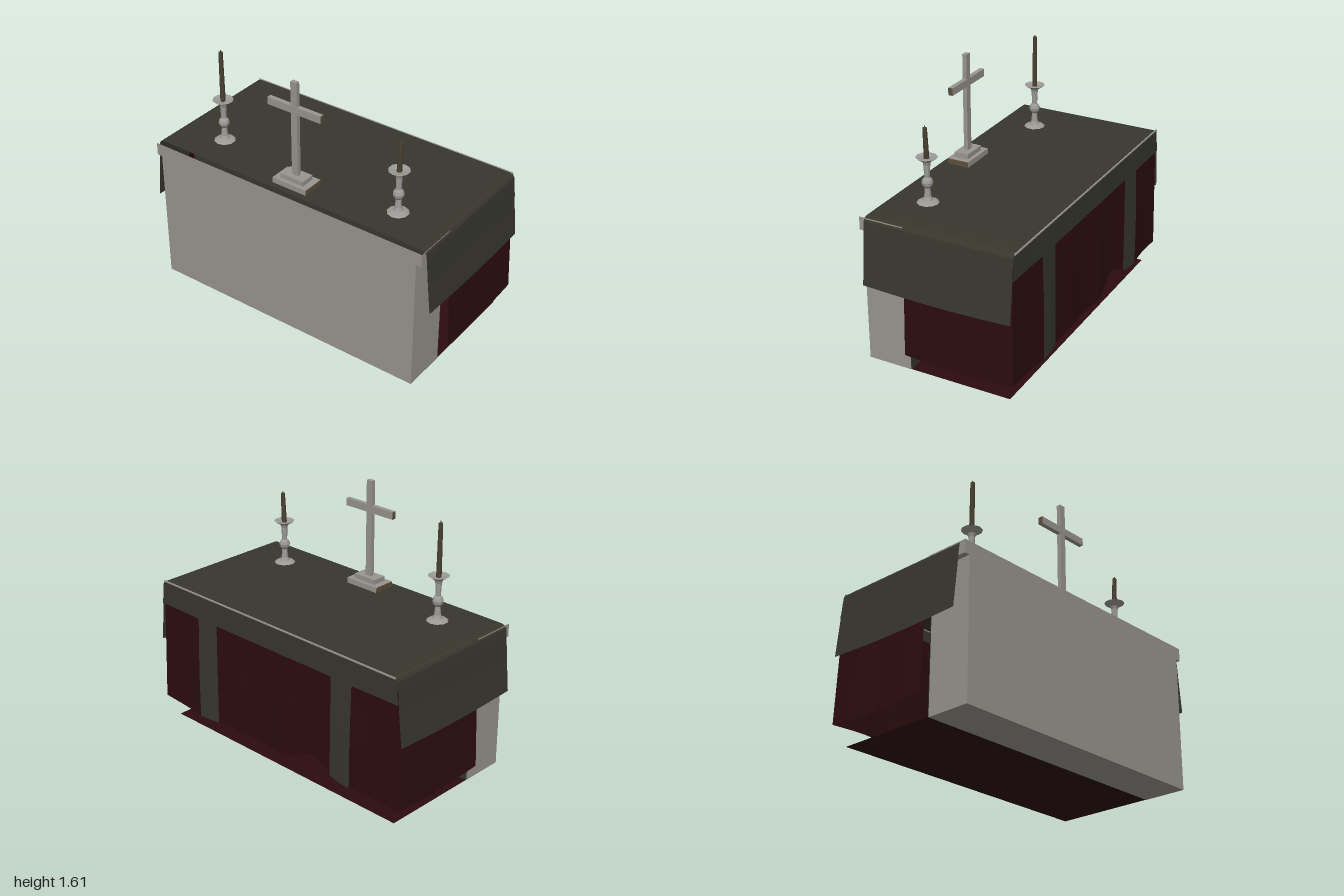
import * as THREE from 'three';
import { ParametricGeometry } from 'three/addons/geometries/ParametricGeometry.js';

const mat = (name, color, side = THREE.FrontSide) => {
  const m = new THREE.MeshStandardMaterial({ color, side });
  m.name = name;
  return m;
};

export function createModel() {
  const stone = mat('stone', 0x98948f);
  const bronze = mat('bronze', 0x5a4f3c);
  const pewter = mat('pewter', 0x9c9a97, THREE.DoubleSide);
  pewter.flatShading = true;
  const wax = mat('wax', 0x4a4030);
  const green = mat('darkGreenCloth', 0x37372e, THREE.DoubleSide);
  const red = mat('darkRedCloth', 0x2c0c0e, THREE.DoubleSide);

  const model = new THREE.Group();
  model.name = 'altar';
  const add = (parent, name, geo, material) => {
    const m = new THREE.Mesh(geo, material);
    m.name = name;
    parent.add(m);
    return m;
  };
  // Box given by its limits on each axis
  const box = (x0, x1, y0, y1, z0, z1) =>
    new THREE.BoxGeometry(x1 - x0, y1 - y0, z1 - z0).translate((x0 + x1) / 2, (y0 + y1) / 2, (z0 + z1) / 2);
  // Box left open at the top
  const openBox = (...limits) => {
    const g = box(...limits);
    const index = Array.from(g.index.array);
    index.splice(12, 6);
    g.setIndex(index);
    g.clearGroups();
    return g;
  };
  // Cloth surface from a rule (u, v) -> [x, y, z]
  const sheet = (rule, nu, nv) =>
    new ParametricGeometry((u, v, p) => p.set(...rule(u, v)), nu, nv);
  const lerp = THREE.MathUtils.lerp;

  // Stone slab with a wider ledge at the top
  add(model, 'frontSlab', openBox(-0.92, 0.92, 0, 0.855, 0.22, 0.5), stone);
  add(model, 'slabLedge', openBox(-0.955, 0.955, 0.855, 0.937, 0.22, 0.5), stone);
  add(model, 'slabBacking', box(-0.919, 0.919, 0.002, 0.93, 0.214, 0.219), green);

  // Flat red floor panel behind the slab
  add(model, 'floorPanel', new THREE.PlaneGeometry(1.84, 0.65).rotateX(-Math.PI / 2).translate(0, 0.002, -0.105), red);

  // Soft folds across the back
  const bell = (x, c, w) => Math.exp(-(((x - c) / w) ** 2));
  const backZ = (x, y) => {
    const drop = (0.94 - y) / 0.8;
    const folds = bell(x, 0.61, 0.13) + bell(x, -0.62, 0.13) + 0.7 * bell(x, -0.1, 0.09) + 0.7 * bell(x, 0.27, 0.09);
    return -0.472 - 0.007 * drop - 0.014 * folds * Math.min(1, drop * 1.6);
  };
  const hem = (x) => 0.13 + 0.1 * bell(x, -0.32, 0.13) + 0.008 * Math.sin(x * 7);
  const sideX = (y) => 0.956 + 0.028 * (0.86 - y) / 0.73;

  // Red hanging: back and two sides
  add(model, 'backHanging', sheet((u, v) => {
    const t = lerp(-1, 1, u);
    const y = lerp(hem(t * 0.98), 0.86, v);
    const x = t * sideX(y);
    return [x, y, backZ(x, y)];
  }, 64, 10), red);
  for (const s of [1, -1]) {
    add(model, s > 0 ? 'leftHanging' : 'rightHanging', sheet((u, v) => {
      const edge = hem(s * 0.98);
      const y = lerp(edge - 0.015 * Math.sin(u * Math.PI), 0.86, v);
      const z = lerp(backZ(s * 0.98, y), 0.215, u);
      return [s * (sideX(y) + 0.003 * Math.sin(u * 9) * u * (1 - u)), y, z];
    }, 16, 8), red);
    // Vertical green bands on the back
    add(model, s > 0 ? 'leftBand' : 'rightBand', sheet((u, v) => {
      const x = s * 0.555 + lerp(-0.08, 0.08, u);
      const y = lerp(hem(x), 0.82, v);
      return [x, y, backZ(x, y) - 0.004];
    }, 6, 10), green);
  }

  // Green cover: rounded over the ends and hanging down both sides
  const half = [[0.85, 0.942], [0.93, 0.941], [0.952, 0.934], [0.962, 0.918], [0.968, 0.87], [0.98, 0.73], [1.0, 0.53]];
  const section = [...half.map(([x, y]) => [-x, y]).reverse(), ...half];
  const last = section.length - 1;
  add(model, 'topCover', sheet((u, v) => {
    const i = Math.round(u * last);
    const [x, y] = section[i];
    const wave = i === 0 || i === last ? -0.012 * Math.sin(v * Math.PI) : 0;
    return [x, y + wave, lerp(-0.476, 0.466, v)];
  }, last, 16), green);
  add(model, 'backOverhang', sheet((u, v) => {
    const y = lerp(0.785, 0.942, v);
    const x = lerp(-1, 1, u) * lerp(0.976, 0.95, v);
    return [x, y, backZ(x, y) - 0.006];
  }, 48, 4), green);
  add(model, 'backEdgeTrim', box(-0.95, 0.95, 0.936, 0.944, -0.482, -0.474), stone);

  // Cross on a two-step base, with bronze end faces
  const cross = new THREE.Group();
  cross.name = 'cross';
  model.add(cross);
  const bronzeEnds = [bronze, bronze, stone, stone, stone, stone];
  add(cross, 'lowerStep', box(-0.12, 0.12, 0.942, 0.976, 0.285, 0.427), bronzeEnds);
  add(cross, 'upperStep', box(-0.08, 0.08, 0.976, 1.006, 0.31, 0.402), stone);
  add(cross, 'upright', box(-0.021, 0.021, 1.006, 1.613, 0.343, 0.37), stone);
  add(cross, 'crossbar', box(-0.186, 0.186, 1.414, 1.46, 0.342, 0.371), bronzeEnds);

  // Candlesticks with leaning candles
  const profile = [[0, 0.943], [0.066, 0.945], [0.055, 0.953], [0.03, 0.96], [0.021, 0.98], [0.016, 1.035],
    [0.03, 1.052], [0.034, 1.07], [0.028, 1.088], [0.016, 1.1], [0.02, 1.18], [0.026, 1.198],
    [0.064, 1.224], [0.058, 1.226], [0, 1.212]].map(([r, y]) => new THREE.Vector2(r, y));
  const candlestick = (name, x, z, top, lean) => {
    const g = new THREE.Group();
    g.name = name;
    g.position.set(x, 0, z);
    model.add(g);
    add(g, 'holder', new THREE.LatheGeometry(profile, 10), pewter);
    const h = top - 0.012 - 1.212;
    const candle = add(g, 'candle', new THREE.CylinderGeometry(0.013, 0.016, h, 8).translate(0, h / 2, 0), wax);
    const wick = add(g, 'wick', new THREE.CylinderGeometry(0.003, 0.004, 0.014, 5).translate(0, h + 0.006, 0), wax);
    for (const m of [candle, wick]) {
      m.position.y = 1.212;
      m.rotation.z = lean;
    }
  };
  candlestick('rightCandlestick', -0.64, 0.235, 1.553, 0);
  candlestick('leftCandlestick', 0.633, 0.25, 1.415, -0.05);

  return model;
}
